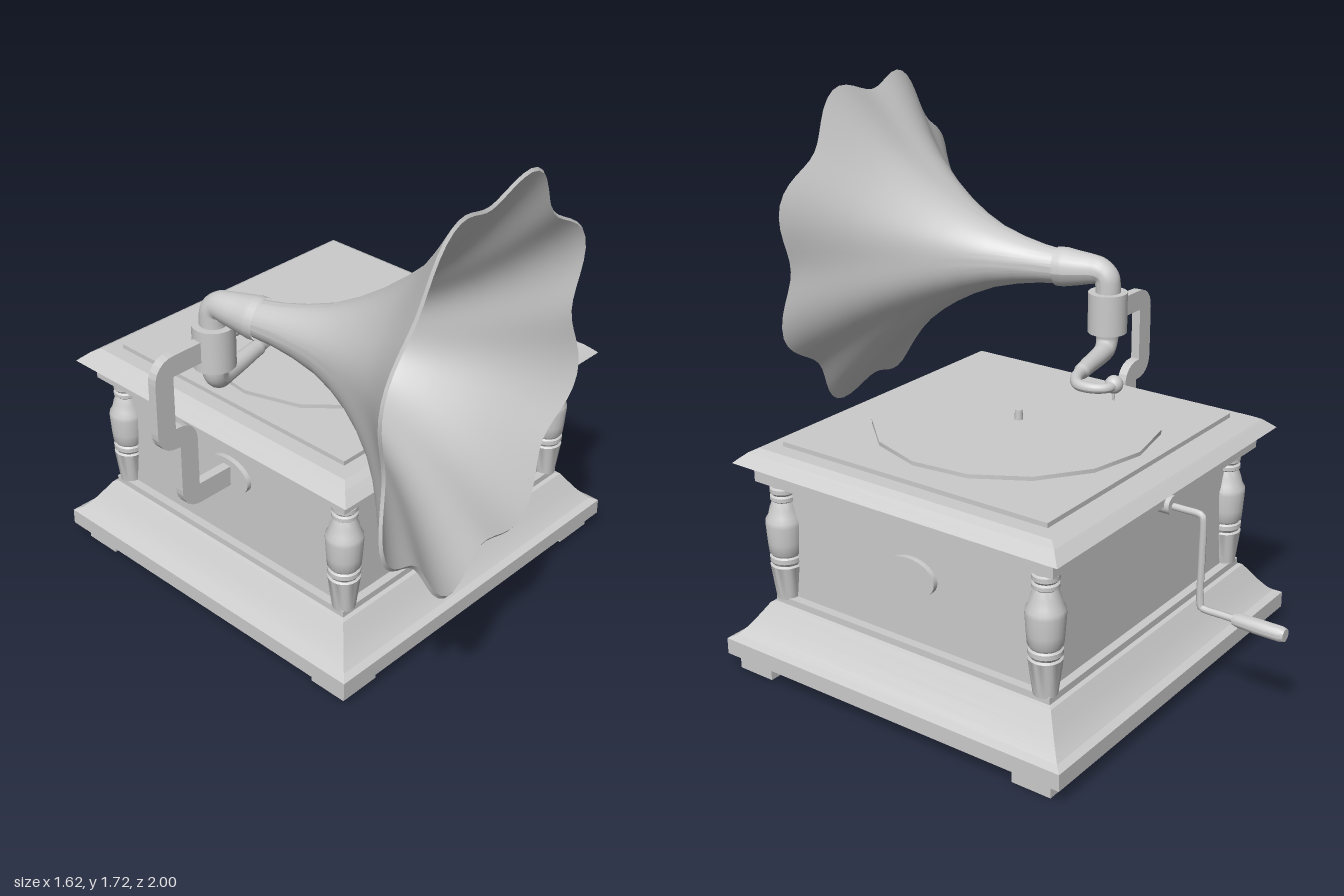
import * as THREE from 'three';
import { toCreasedNormals } from 'three/addons/utils/BufferGeometryUtils.js';

const CX = 0.153, CZ = -0.032; // cabinet centre
const SQUASH = 0.979;          // cabinet depth / width

export function createModel() {
  const model = new THREE.Group();
  const material = new THREE.MeshStandardMaterial({ color: 0xcccccc });
  const V = (x, y, z) => new THREE.Vector3(x, y, z);

  function add(name, geometry, x = 0, y = 0, z = 0, parent = model) {
    const mesh = new THREE.Mesh(geometry, material);
    mesh.name = name;
    mesh.position.set(x, y, z);
    parent.add(mesh);
    return mesh;
  }
  const lathe = (pts, segments, phi = 0) =>
    new THREE.LatheGeometry(pts.map(p => new THREE.Vector2(p[0], p[1])), segments, phi);
  const cylinder = (r0, r1, h, n = 24) => new THREE.CylinderGeometry(r0, r1, h, n);

  // Rectangular moulding from a [half width, height] profile, bottom to top
  function moulding(name, profile) {
    const g = lathe(profile.map(([w, y]) => [w * Math.SQRT2, y]), 4, Math.PI / 4);
    g.scale(1, 1, SQUASH);
    add(name, toCreasedNormals(g, 0.2), CX, 0, CZ);
  }

  // Tube whose radius follows a function of the distance along the curve
  function taperedTube(points, radius, steps = 40, sides = 18) {
    const curve = new THREE.CatmullRomCurve3(points);
    const g = new THREE.TubeGeometry(curve, steps, 1, sides);
    const p = g.attributes.position, v = V(0, 0, 0);
    for (let i = 0; i < p.count; i++) {
      const t = Math.floor(i / (sides + 1)) / steps;
      const c = curve.getPointAt(t);
      v.fromBufferAttribute(p, i).sub(c).multiplyScalar(radius(t)).add(c);
      p.setXYZ(i, v.x, v.y, v.z);
    }
    g.computeVertexNormals();
    return g;
  }

  // Cabinet
  moulding('base', [[0, 0.053], [0.659, 0.053], [0.659, 0.107], [0.635, 0.118], [0.618, 0.135], [0.595, 0.165],
    [0.575, 0.195], [0.556, 0.224], [0.542, 0.228], [0.542, 0.25], [0, 0.25]]);
  moulding('body', [[0.513, 0.24], [0.513, 0.65]]);
  moulding('cornice', [[0, 0.645], [0.574, 0.645], [0.574, 0.71], [0.621, 0.71], [0.608, 0.722],
    [0.585, 0.742], [0.56, 0.755], [0, 0.755]]);
  moulding('topPanel', [[0.508, 0.75], [0.508, 0.77], [0, 0.77]]);

  // Feet and turned columns set on the cabinet corners
  const column = toCreasedNormals(lathe([[0.037, 0.245], [0.052, 0.36], [0.045, 0.365], [0.052, 0.375],
    [0.052, 0.39], [0.046, 0.395], [0.053, 0.405], [0.056, 0.44], [0.06, 0.5], [0.059, 0.515], [0.05, 0.53],
    [0.044, 0.555], [0.035, 0.578], [0.041, 0.583], [0.041, 0.595], [0.034, 0.6], [0.041, 0.608],
    [0.041, 0.622], [0.034, 0.626], [0.034, 0.65]], 20), 0.6);
  for (const sx of [-1, 1]) for (const sz of [-1, 1]) {
    add('foot', new THREE.BoxGeometry(0.147, 0.056, 0.135), CX + 0.004 + sx * 0.558, 0.028, CZ + 0.007 + sz * 0.54);
    add('column', column, CX + 0.003 + sx * 0.512, 0, CZ + 0.003 + sz * 0.5);
  }

  // Oval plates on both sides
  for (const sx of [-1, 1]) {
    const plate = cylinder(1, 1, 0.03, 32);
    plate.rotateZ(Math.PI / 2).scale(1, 0.061, 0.095);
    add('sidePlate', plate, CX + sx * 0.515, sx > 0 ? 0.47 : 0.505, sx > 0 ? -0.045 : -0.02);
  }

  // Turntable
  add('platter', cylinder(0.387, 0.387, 0.018, 15).rotateY(Math.PI), 0.143, 0.777, -0.047);
  add('record', cylinder(0.455, 0.455, 0.013, 15).rotateY(Math.PI), 0.143, 0.791, -0.045);
  add('spindle', cylinder(0.012, 0.014, 0.04, 12), 0.14, 0.81, -0.05);

  // Flat bracket with rounded bends
  const route = [[-0.34, 0.508], [-0.542, 0.508], [-0.542, 0.748], [-0.627, 0.748], [-0.627, 1.0], [-0.42, 1.0]]
    .map(p => new THREE.Vector2(p[0], p[1]));
  const path = new THREE.Path().moveTo(route[0].x, route[0].y);
  route.forEach((p, i) => {
    if (i === 0) return;
    if (i === route.length - 1) { path.lineTo(p.x, p.y); return; }
    const toward = q => p.clone().add(q.clone().sub(p).setLength(0.04));
    const a = toward(route[i - 1]), b = toward(route[i + 1]);
    path.lineTo(a.x, a.y);
    path.quadraticCurveTo(p.x, p.y, b.x, b.y);
  });
  const line = path.getPoints(6);
  const offset = d => line.map((p, i) => {
    const t = line[Math.min(i + 1, line.length - 1)].clone().sub(line[Math.max(i - 1, 0)]).normalize();
    return new THREE.Vector2(p.x - t.y * d, p.y + t.x * d);
  });
  const strip = new THREE.Shape([...offset(0.035), ...offset(-0.035).reverse()]);
  add('bracket', new THREE.ExtrudeGeometry(strip, { depth: 0.032, bevelEnabled: false }), 0, 0, -0.034);

  // Socket and elbow
  const PX = -0.415, PZ = -0.015;
  add('socket', cylinder(0.067, 0.067, 0.14), PX, 1.0, PZ);
  const neck = V(-0.382, 1.137, 0.165), bell = V(-0.256, 1.16, 0.89);
  add('elbow', taperedTube([V(PX, 1.02, PZ), V(PX, 1.09, PZ), V(PX + 0.001, 1.122, PZ + 0.006),
    V(PX + 0.005, 1.139, PZ + 0.03), V(-0.405, 1.141, 0.05), V(-0.394, 1.139, 0.1), neck],
  t => 0.043 + 0.024 * THREE.MathUtils.clamp((t - 0.4) / 0.5, 0, 1)));

  // Horn: thin fluted shell with eight lobes fading toward the neck
  const length = neck.distanceTo(bell);
  const outer = [[0.058, -0.01], [0.066, 0.06], [0.082, 0.14], [0.108, 0.23], [0.145, 0.31], [0.19, 0.385],
    [0.245, 0.46], [0.315, 0.54], [0.385, 0.605], [0.455, 0.66], [0.512, 0.702], [0.56, length]];
  const inner = outer.map(([r, y], i) => i === 0 ? [0, -0.06] : [r - 0.009, y + 0.006]).reverse();
  const hornGeometry = lathe([...outer, ...inner], 96);
  const hp = hornGeometry.attributes.position;
  for (let i = 0; i < hp.count; i++) {
    const x = hp.getX(i), y = hp.getY(i), z = hp.getZ(i);
    const wave = Math.pow(Math.max(0, y / length), 2.5) * Math.cos(8 * Math.atan2(z, x));
    const k = 1 - 0.066 * wave;
    hp.setXYZ(i, x * k, y - 0.008 * wave, z * k);
  }
  hornGeometry.rotateX(Math.PI / 2);
  add('horn', toCreasedNormals(hornGeometry, 0.9), neck.x, neck.y, neck.z).lookAt(bell);

  // Tone arm with sound head and needle
  add('toneArm', taperedTube([V(PX, 0.95, PZ), V(PX, 0.9, PZ), V(-0.395, 0.874, -0.02), V(-0.34, 0.868, -0.034),
    V(-0.22, 0.868, -0.062), V(-0.12, 0.866, -0.09), V(-0.07, 0.866, -0.135), V(-0.072, 0.866, -0.19),
    V(-0.1, 0.866, -0.224), V(-0.14, 0.866, -0.225)],
  t => (t < 0.2 ? 0.041 - 0.04 * t : t < 0.55 ? 0.033 - 0.02 * (t - 0.2) : 0.021 - 0.013 * (t - 0.55)), 60));
  add('soundHead', new THREE.SphereGeometry(0.03, 20, 14), -0.14, 0.866, -0.222);
  add('needle', cylinder(0.006, 0.003, 0.04, 8), -0.14, 0.832, -0.222);

  // Crank at the back
  const crank = new THREE.Group();
  crank.name = 'crank';
  crank.position.x = 0.125;
  model.add(crank);
  add('crankPlate', cylinder(0.03, 0.03, 0.07, 20).rotateX(Math.PI / 2), 0, 0.645, -0.575, crank);
  add('crankRod', taperedTube([V(0, 0.642, -0.58), V(0, 0.642, -0.65), V(0, 0.642, -0.695), V(0, 0.638, -0.709),
    V(0, 0.62, -0.713), V(0, 0.5, -0.713), V(0, 0.355, -0.713), V(0, 0.338, -0.717), V(0, 0.334, -0.735),
    V(0, 0.334, -0.78), V(0, 0.334, -0.84)], () => 0.011, 80, 10), 0, 0, 0, crank);
  const grip = lathe([[0, 0], [0.018, 0], [0.022, 0.02], [0.024, 0.08], [0.024, 0.155], [0.02, 0.17], [0, 0.17]], 18);
  add('crankHandle', toCreasedNormals(grip, 0.6), 0, 0.334, -0.83, crank).rotation.x = -Math.PI / 2;

  return model;
}
